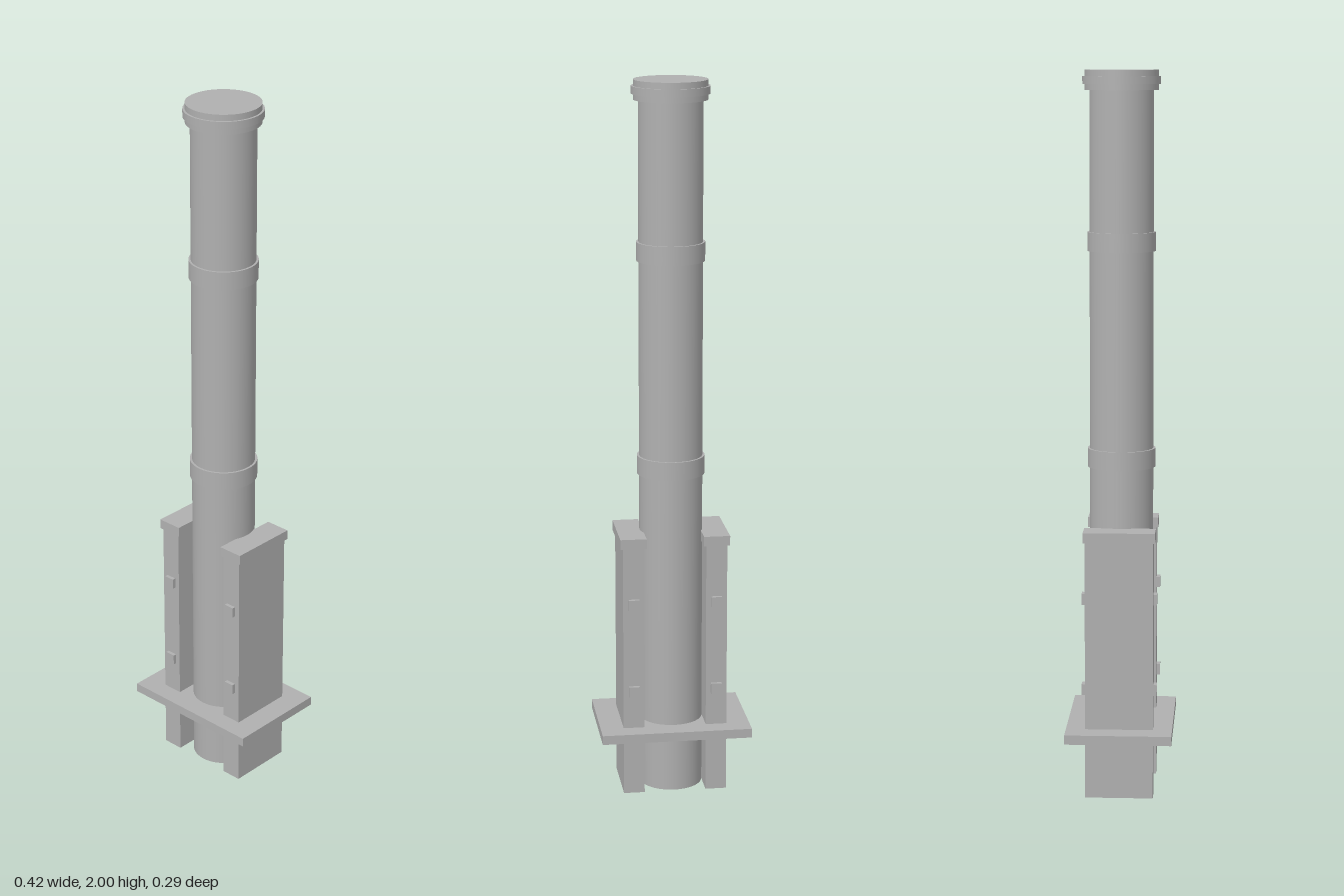
import * as THREE from 'three';

export function createModel() {
  const model = new THREE.Group();
  const grey = new THREE.MeshStandardMaterial({ color: 0xb0b0b0 });
  grey.name = 'grey';

  const add = (name, geometry, x, y, z) => {
    const mesh = new THREE.Mesh(geometry, grey);
    mesh.name = name;
    mesh.position.set(x, y, z);
    model.add(mesh);
  };
  // Round part between two heights
  const disc = (name, r, y0, y1) =>
    add(name, new THREE.CylinderGeometry(r, r, y1 - y0, 48), 0, (y0 + y1) / 2, 0);
  // Box given by its lower and upper limits
  const box = (name, [x0, x1], [y0, y1], [z0, z1]) =>
    add(name, new THREE.BoxGeometry(x1 - x0, y1 - y0, z1 - z0),
      (x0 + x1) / 2, (y0 + y1) / 2, (z0 + z1) / 2);

  // Pole with two bands and a ringed cap
  disc('pole', 0.088, 0, 1.97);
  disc('lowerBand', 0.094, 0.912, 0.964);
  disc('upperBand', 0.094, 1.51, 1.562);
  disc('cap', 0.101, 1.946, 2);
  disc('capRing', 0.107, 1.962, 1.983);

  // Ground plate
  box('basePlate', [-0.211, 0.211], [0.17, 0.196], [-0.147, 0.147]);

  // Supports on both sides, each with a top slab and bolts front and back
  for (const [side, s] of [['left', 1], ['right', -1]]) {
    const span = (a, b) => (s > 0 ? [a, b] : [-b, -a]);
    box(side + 'Support', span(0.087, 0.146), [0, 0.725], [-0.094, 0.094]);
    box(side + 'SupportCap', span(0.08, 0.153), [0.722, 0.75], [-0.099, 0.099]);
    for (const y of [0.305, 0.56]) {
      box(side + 'FrontBolt', span(0.101, 0.131), [y - 0.015, y + 0.015], [0.09, 0.104]);
      box(side + 'BackBolt', span(0.101, 0.131), [y - 0.015, y + 0.015], [-0.104, -0.09]);
    }
  }
  return model;
}
